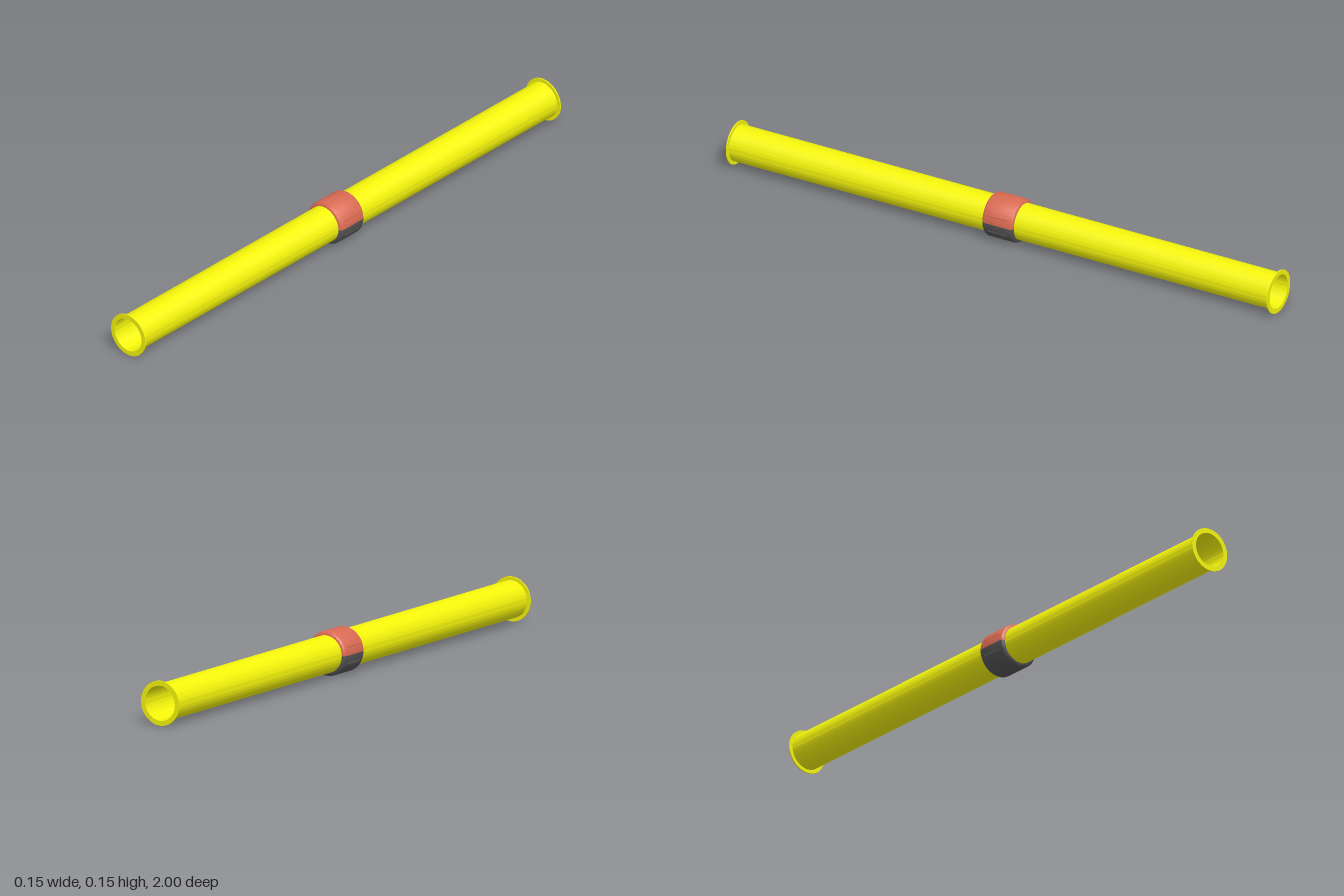
import * as THREE from 'three';
import { toCreasedNormals } from 'three/addons/utils/BufferGeometryUtils.js';

const CY = 0.073; // height of the pipe axis

// Revolve [radius, z] points about the z axis
function revolve(points, segments, start = 0, length = Math.PI * 2) {
  const profile = points.map(([r, z]) => new THREE.Vector2(r, z));
  const geo = new THREE.LatheGeometry(profile, segments, start, length);
  geo.rotateX(-Math.PI / 2);
  return toCreasedNormals(geo, 0.6);
}

export function createModel() {
  const model = new THREE.Group();
  const yellow = new THREE.MeshStandardMaterial({ color: 0xf4f40c, side: THREE.DoubleSide });
  const red = new THREE.MeshStandardMaterial({ color: 0xd96a52, side: THREE.DoubleSide });
  const grey = new THREE.MeshStandardMaterial({ color: 0x555555, side: THREE.DoubleSide });

  const add = (name, geo, material, parent = model) => {
    const mesh = new THREE.Mesh(geo, material);
    mesh.name = name;
    parent.add(mesh);
    return mesh;
  };

  // Hollow pipe
  const L = 0.999;
  add('pipe', revolve([[0.061, -L], [0.061, L], [0.057, L], [0.057, -L], [0.061, -L]], 64), yellow)
    .position.y = CY;

  // Thin flange on each end
  for (const [name, z] of [['frontFlange', 0.998], ['backFlange', -0.998]]) {
    const t = 0.002;
    add(name, revolve([[0.073, -t], [0.073, t], [0.057, t], [0.057, -t], [0.073, -t]], 64), yellow)
      .position.set(0, CY, z);
  }

  // Split clamp: two half rings with rounded rims
  const w = 0.057, R = 0.073, c = 0.012;
  const ring = [[0.061, -w]];
  for (let i = 0; i <= 5; i++) {
    const a = (i / 5) * Math.PI / 2;
    ring.push([R - c + c * Math.sin(a), -w + c - c * Math.cos(a)]);
  }
  for (let i = 0; i <= 5; i++) {
    const a = (i / 5) * Math.PI / 2;
    ring.push([R - c + c * Math.cos(a), w - c + c * Math.sin(a)]);
  }
  ring.push([0.061, w], [0.061, -w]);

  // Closing lug, tapering away from the split line
  function lug(height) {
    const shape = new THREE.Shape();
    shape.moveTo(-0.042, 0.002);
    shape.lineTo(0.042, 0.002);
    shape.lineTo(0.035, height);
    shape.lineTo(-0.035, height);
    shape.closePath();
    const geo = new THREE.ExtrudeGeometry(shape, { depth: 0.012, bevelEnabled: false });
    geo.rotateY(Math.PI / 2);
    geo.translate(0.057, 0, 0);
    return geo;
  }

  const halves = [['upperClamp', red, 1, 0.028], ['lowerClamp', grey, -1, 0.03]];
  for (const [name, material, dir, height] of halves) {
    const half = new THREE.Group();
    half.name = name;
    half.position.y = CY;
    if (dir < 0) half.rotation.z = Math.PI;
    add(name + 'Shell', revolve(ring, 40, -Math.PI / 2, Math.PI), material, half);
    add(name + 'LugA', lug(height), material, half);
    add(name + 'LugB', lug(height), material, half).rotation.y = Math.PI;
    model.add(half);
  }

  return model;
}
